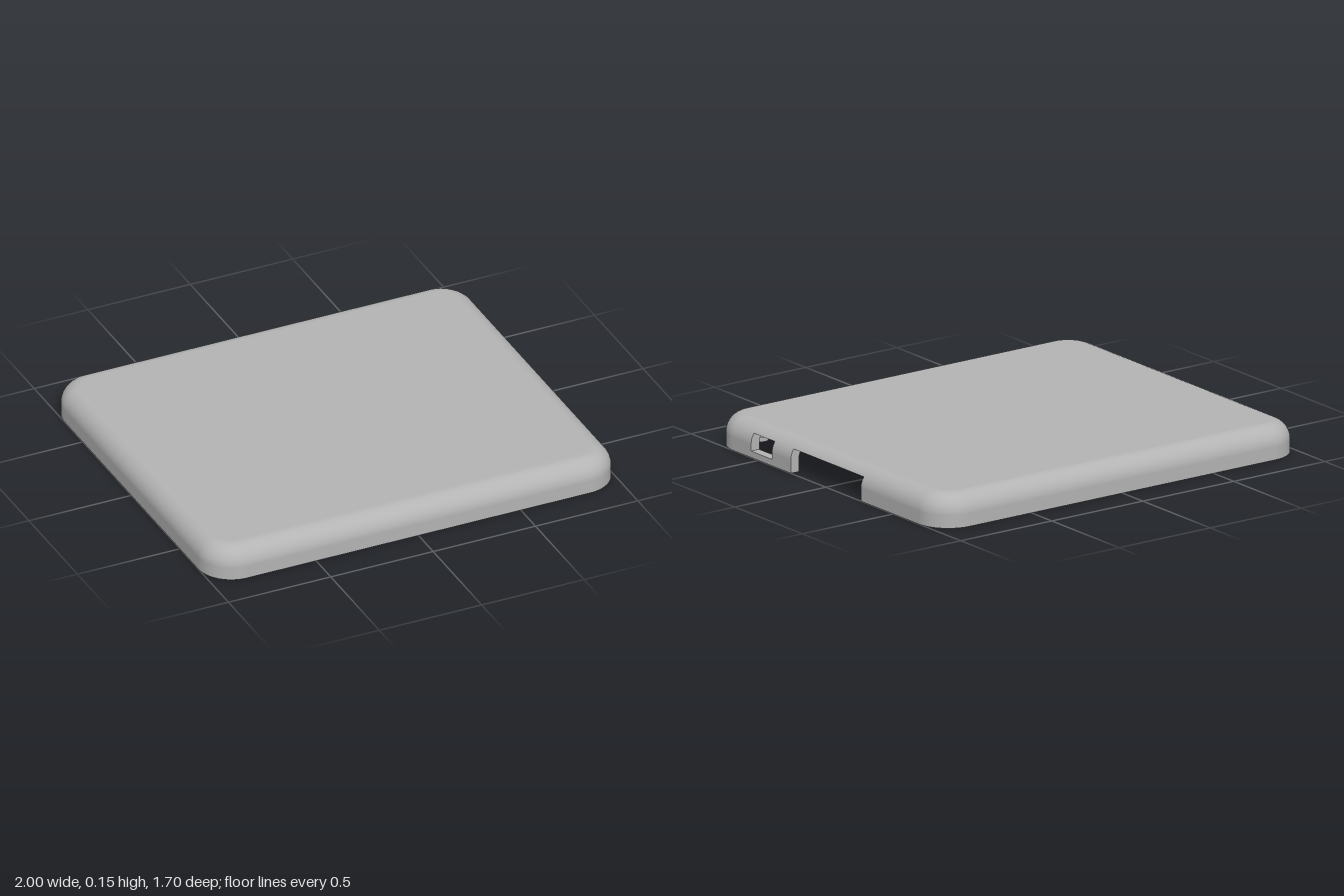
import * as THREE from 'three';
import { toCreasedNormals } from 'three/addons/utils/BufferGeometryUtils.js';

const R = 0.16;            // plan corner radius
const HX = 1, HZ = 0.85;   // half width and half depth
const H = 0.15, WALL = 0.045, FILLET = 0.09;
const CEIL = 0.11;         // underside of the lid, also the top of the openings

// openings in the +x wall: z range and bottom height
const OPENINGS = [
  { name: 'slot', z0: -0.26, z1: 0.26, y0: 0 },
  { name: 'window', z0: 0.4, z1: 0.555, y0: 0.03 },
];

// plan outline: arc centres and angles, with extra stations at the opening edges
function outline() {
  const pts = [], steps = 12;
  [[1, 1], [-1, 1], [-1, -1], [1, -1]].forEach(([sx, sz], q) => {
    for (let i = 0; i <= steps; i++) {
      pts.push({ cx: sx * (HX - R), cz: sz * (HZ - R), a: (q + i / steps) * Math.PI / 2 });
    }
  });
  for (const o of OPENINGS) {
    for (const z of [o.z0, o.z1]) pts.push({ cx: HX - R, cz: z, a: 0, opening: z === o.z0 ? o : null });
  }
  return pts;
}

// wall profile: straight side, then a quarter-round up to the flat
function profile(inset, radius, top) {
  const rows = [{ inset, y: 0, phi: 0 }, { inset, y: 0.03, phi: 0 }];
  for (let i = 0; i <= 8; i++) {
    const phi = i / 8 * Math.PI / 2;
    rows.push({ inset: inset + radius * (1 - Math.cos(phi)), y: top - radius + radius * Math.sin(phi), phi });
  }
  return rows;
}

// sweep rows round the outline, leaving the openings out
function skin(base, rows, inward) {
  const pos = [], nor = [], idx = [], n = base.length, s = inward ? -1 : 1;
  for (const r of rows) {
    for (const b of base) {
      const c = Math.cos(b.a), d = Math.sin(b.a), k = Math.cos(r.phi);
      pos.push(b.cx + (R - r.inset) * c, r.y, b.cz + (R - r.inset) * d);
      nor.push(s * k * c, s * Math.sin(r.phi), s * k * d);
    }
  }
  for (let j = 0; j < rows.length - 1; j++) {
    const mid = (rows[j].y + rows[j + 1].y) / 2;
    for (let i = 0; i < n; i++) {
      const o = base[i].opening;
      if (o && mid >= o.y0 && mid < CEIL) continue;
      const a = j * n + i, b = j * n + (i + 1) % n, c = a + n, d = b + n;
      if (inward) idx.push(a, b, c, b, d, c);
      else idx.push(a, c, b, b, c, d);
    }
  }
  const g = new THREE.BufferGeometry();
  g.setAttribute('position', new THREE.Float32BufferAttribute(pos, 3));
  g.setAttribute('normal', new THREE.Float32BufferAttribute(nor, 3));
  g.setIndex(idx);
  return g;
}

// flat plate filling the outline at one height
function flat(base, inset, y, up) {
  const pts = base.map(b => new THREE.Vector2(
    b.cx + (R - inset) * Math.cos(b.a), b.cz + (R - inset) * Math.sin(b.a)));
  const g = new THREE.ShapeGeometry(new THREE.Shape(pts));
  g.rotateX(up ? -Math.PI / 2 : Math.PI / 2);
  return g.translate(0, y, 0);
}

export function createModel() {
  const model = new THREE.Group();
  model.name = 'enclosureLid';
  const grey = new THREE.MeshStandardMaterial({ color: 0xb4b4b4, side: THREE.DoubleSide });
  grey.name = 'grey plastic';
  const add = (name, geometry, parent = model) => {
    const m = new THREE.Mesh(geometry, grey);
    m.name = name;
    parent.add(m);
    return m;
  };

  const base = outline();
  const outer = profile(0, FILLET, H);
  const inner = profile(WALL, FILLET - WALL, CEIL);

  // shell
  add('outerWall', skin(base, outer, false));
  add('innerWall', skin(base, inner, true));
  add('topFace', flat(base, FILLET, H, true));
  add('ceiling', flat(base, FILLET, CEIL, false));

  // bottom rim, a flat ring between the two walls
  add('rim', skin(base, [
    { inset: WALL, y: 0, phi: -Math.PI / 2 },
    { inset: 0, y: 0, phi: -Math.PI / 2 },
  ], false));

  // reveals of the openings: two jambs, a lintel and a sill
  for (const o of OPENINGS) {
    const group = new THREE.Group();
    group.name = o.name;
    model.add(group);
    const inRange = r => r.y > o.y0 - 0.001 && r.y < CEIL + 0.001;
    const cut = [...outer.filter(inRange), ...inner.filter(inRange).reverse()];
    const jamb = new THREE.Shape(cut.map(r => new THREE.Vector2(HX - r.inset, r.y)));
    for (const z of [o.z0, o.z1]) add('jamb', new THREE.ShapeGeometry(jamb).translate(0, 0, z), group);
    const ledge = (name, x0, x1, y, turn) => {
      const g = new THREE.PlaneGeometry(x1 - x0, o.z1 - o.z0).rotateX(turn);
      add(name, g.translate((x0 + x1) / 2, y, (o.z0 + o.z1) / 2), group);
    };
    const lip = outer.filter(inRange).pop();
    ledge('lintel', HX - FILLET, HX - lip.inset, CEIL, Math.PI / 2);
    if (o.y0 > 0) ledge('sill', HX - WALL, HX, o.y0, -Math.PI / 2);
  }

  // stepped, hollow screw posts at the corners
  const postProfile = [[0.018, CEIL], [0.018, 0.02], [0.035, 0.02], [0.035, 0.05], [0.066, 0.05], [0.066, CEIL]]
    .map(([x, y]) => new THREE.Vector2(x, y));
  const post = toCreasedNormals(new THREE.LatheGeometry(postProfile, 28), 0.6);
  for (const sx of [-1, 1]) {
    for (const sz of [-1, 1]) add('screwPost', post).position.set(sx * 0.845, 0, sz * 0.695);
  }
  return model;
}
